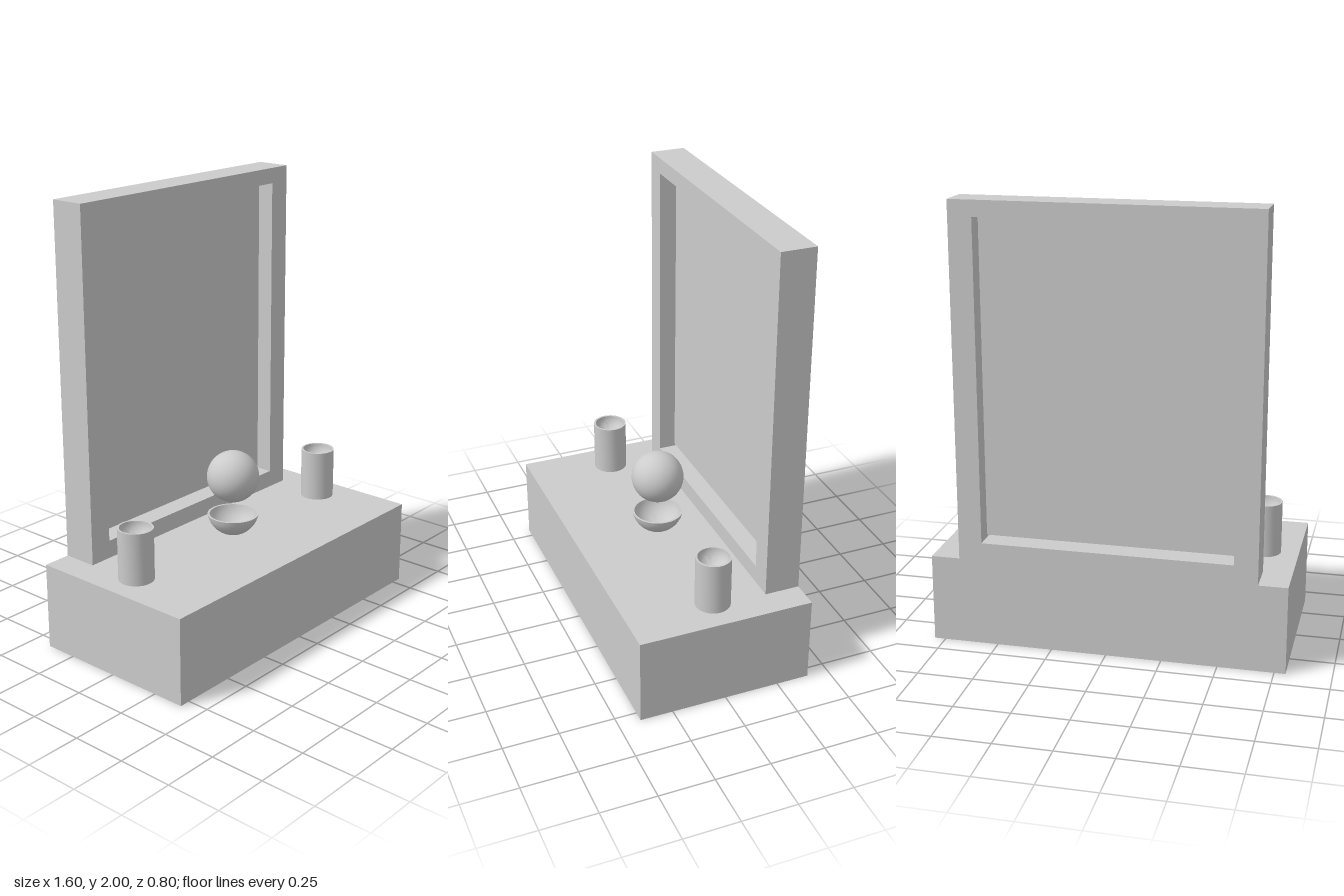
import * as THREE from 'three';
import { toCreasedNormals } from 'three/addons/utils/BufferGeometryUtils.js';

export function createModel() {
  const group = new THREE.Group();
  const grey = new THREE.MeshStandardMaterial({ color: 0xcccccc });
  const greyDouble = new THREE.MeshStandardMaterial({ color: 0xcccccc, side: THREE.DoubleSide });

  const add = (name, geometry, material, x = 0, y = 0, z = 0) => {
    const mesh = new THREE.Mesh(geometry, material);
    mesh.name = name;
    mesh.position.set(x, y, z);
    group.add(mesh);
    return mesh;
  };

  // Points on the lower part of a sphere, from the bottom pole (t = 0) up to angle end
  const arc = (radius, centreY, end, steps = 12) =>
    Array.from({ length: steps + 1 }, (_, i) => {
      const t = (end * i) / steps;
      return new THREE.Vector2(radius * Math.sin(t), centreY - radius * Math.cos(t));
    });
  const lathe = (points) => toCreasedNormals(new THREE.LatheGeometry(points, 40), 0.6);

  // Base: a box left open underneath
  const box = new THREE.BoxGeometry(1.6, 0.4, 0.8);
  const bottom = box.groups[3];
  box.setIndex(Array.from(box.index.array).filter((_, i) => i < bottom.start || i >= bottom.start + bottom.count));
  box.clearGroups();
  add('base', box, greyDouble, 0, 0.2, 0);

  // Upright frame with a rectangular opening
  const rect = (Type, x, y0, y1) => {
    const path = new Type();
    path.moveTo(-x, y0).lineTo(x, y0).lineTo(x, y1).lineTo(-x, y1).closePath();
    return path;
  };
  const outline = rect(THREE.Shape, 0.67, 0.4, 2);
  outline.holes.push(rect(THREE.Path, 0.564, 0.482, 1.928));
  add('frame', new THREE.ExtrudeGeometry(outline, { depth: 0.16, bevelEnabled: false }), grey, 0, 0, -0.4);

  // Thin panel halfway through the frame, with a slit above and below
  add('panel', new THREE.PlaneGeometry(1.128, 1.424), greyDouble, 0, 1.205, -0.32);

  // Two cups with rounded hollows
  const cup = lathe([
    new THREE.Vector2(0.079, 0),
    new THREE.Vector2(0.079, 0.24),
    ...arc(0.07, 0.24, Math.PI / 2).reverse(),
  ]);
  for (const [name, side] of [['leftCup', 1], ['rightCup', -1]]) add(name, cup, grey, side * 0.64, 0.4, 0);

  // Shallow bowl with the ball floating above it
  const rim = (radius) => Math.acos(0.02 / radius);
  add('bowl', lathe([...arc(0.12, 0.12, rim(0.12)), ...arc(0.11, 0.12, rim(0.11)).reverse()]), grey, 0, 0.4, 0);
  add('ball', new THREE.SphereGeometry(0.12, 40, 24), grey, 0, 0.683, 0);

  return group;
}
